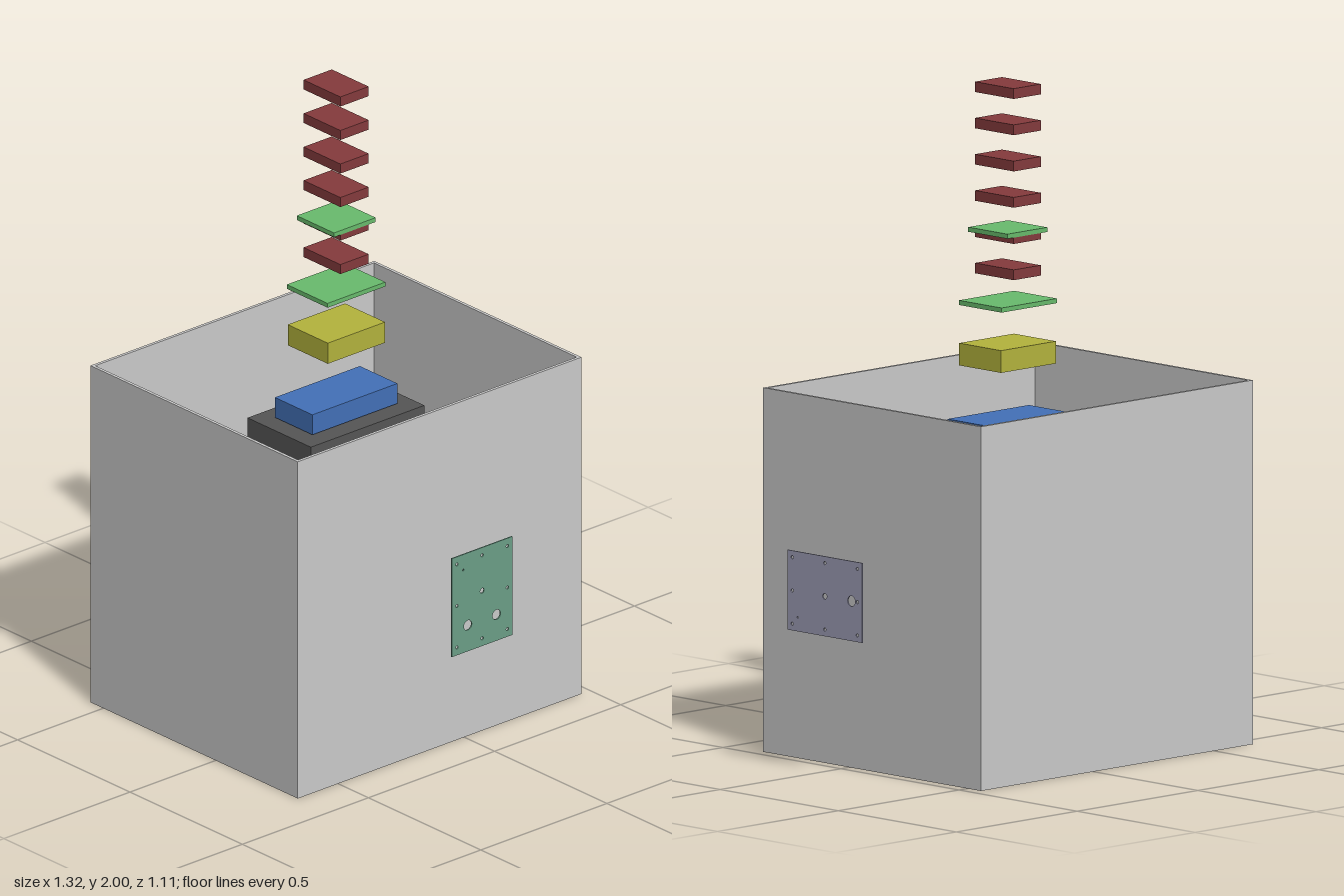
import * as THREE from 'three';

const paint = (color) => new THREE.MeshStandardMaterial({ color });

// Box given by its extents on each axis
function block(name, color, [x0, x1], [y0, y1], [z0, z1]) {
  const mesh = new THREE.Mesh(new THREE.BoxGeometry(x1 - x0, y1 - y0, z1 - z0), paint(color));
  mesh.position.set((x0 + x1) / 2, (y0 + y1) / 2, (z0 + z1) / 2);
  mesh.name = name;
  return mesh;
}

function rectPath(PathType, x0, x1, y0, y1) {
  return new PathType([[x0, y0], [x1, y0], [x1, y1], [x0, y1]].map(([x, y]) => new THREE.Vector2(x, y)));
}

// Thin drilled plate, centred on its origin; holes are [x, y, radius]
function drilledPlate(name, color, w, h, holes) {
  const shape = rectPath(THREE.Shape, -w / 2, w / 2, -h / 2, h / 2);
  for (const [x, y, r] of holes) {
    const hole = new THREE.Path();
    hole.absarc(x, y, r, 0, Math.PI * 2, true);
    shape.holes.push(hole);
  }
  const geometry = new THREE.ExtrudeGeometry(shape, { depth: 0.004, bevelEnabled: false, curveSegments: 10 });
  geometry.translate(0, 0, -0.002);
  const mesh = new THREE.Mesh(geometry, paint(color));
  mesh.name = name;
  return mesh;
}

// Eight fixing holes around the edge of a plate
function edgeHoles(dx, dy) {
  const holes = [];
  for (const i of [-1, 0, 1]) for (const j of [-1, 0, 1]) {
    if (i || j) holes.push([i * dx, j * dy, 0.005]);
  }
  return holes;
}

// Horizontal slab cut from a shape drawn in x and -z
function slab(name, shape, y, height) {
  const geometry = new THREE.ExtrudeGeometry(shape, { depth: height, bevelEnabled: false });
  geometry.rotateX(-Math.PI / 2);
  const mesh = new THREE.Mesh(geometry, paint(0xcccccc));
  mesh.position.y = y;
  mesh.name = name;
  return mesh;
}

export function createModel() {
  const model = new THREE.Group();
  model.name = 'explodedEnclosure';

  // Open-topped enclosure: four walls and a floor with two cable slots
  const [x0, x1, z0, z1, t] = [-0.66, 0.465, -0.557, 0.365, 0.01];
  const walls = rectPath(THREE.Shape, x0, x1, -z1, -z0);
  walls.holes.push(rectPath(THREE.Path, x0 + t, x1 - t, -z1 + t, -z0 - t));
  const floor = rectPath(THREE.Shape, x0, x1, -z1, -z0);
  for (const x of [0.01, 0.08]) floor.holes.push(rectPath(THREE.Path, x, x + 0.05, -0.04, -0.02));
  const enclosure = new THREE.Group();
  enclosure.name = 'enclosure';
  enclosure.add(slab('walls', walls, t, 1.095 - t), slab('floor', floor, 0, t));
  model.add(enclosure);

  // Small unit on the floor at the back corner
  model.add(block('cornerUnit', 0x7d7d8c, [0.185, 0.375], [t, 0.13], [-0.52, -0.465]));

  // Stack of parts, from the bottom up
  model.add(
    block('baseUnit', 0x565656, [-0.32, 0.13], [0.715, 0.93], [-0.24, 0.042]),
    block('blueUnit', 0x4371b8, [-0.265, 0.072], [0.935, 1.0], [-0.18, -0.013]),
    block('yellowUnit', 0xb4b43d, [-0.212, 0.015], [1.153, 1.22], [-0.182, -0.004]),
    block('lowerBoard', 0x69bc6d, [-0.212, 0.017], [1.335, 1.349], [-0.186, -0.005]),
    block('upperBoard', 0x69bc6d, [-0.18, -0.015], [1.552, 1.566], [-0.178, -0.012])
  );
  for (let i = 0; i < 6; i++) {
    const top = 2 - i * 0.109;
    model.add(block('module' + (i + 1), 0x853b3d, [-0.154, -0.042], [top - 0.031, top], [-0.177, -0.013]));
  }

  // Front panel, held off the front wall
  const frontPanel = drilledPlate('frontPanel', 0x6c9f88, 0.24, 0.32, [
    ...edgeHoles(0.1, 0.135), [0, 0.02, 0.008], [-0.057, -0.075, 0.016], [0.057, -0.075, 0.016], [-0.075, 0.11, 0.003]
  ]);
  frontPanel.position.set(-0.097, 0.55, 0.552);

  // Side panel, held off the left wall
  const sidePanel = drilledPlate('sidePanel', 0x9f9fb8, 0.315, 0.24, [
    ...edgeHoles(0.138, 0.1), [0, 0, 0.009], [0.113, 0, 0.016], [-0.115, -0.078, 0.003]
  ]);
  sidePanel.rotation.y = Math.PI / 2;
  sidePanel.position.set(0.656, 0.55, -0.093);
  model.add(frontPanel, sidePanel);

  return model;
}
